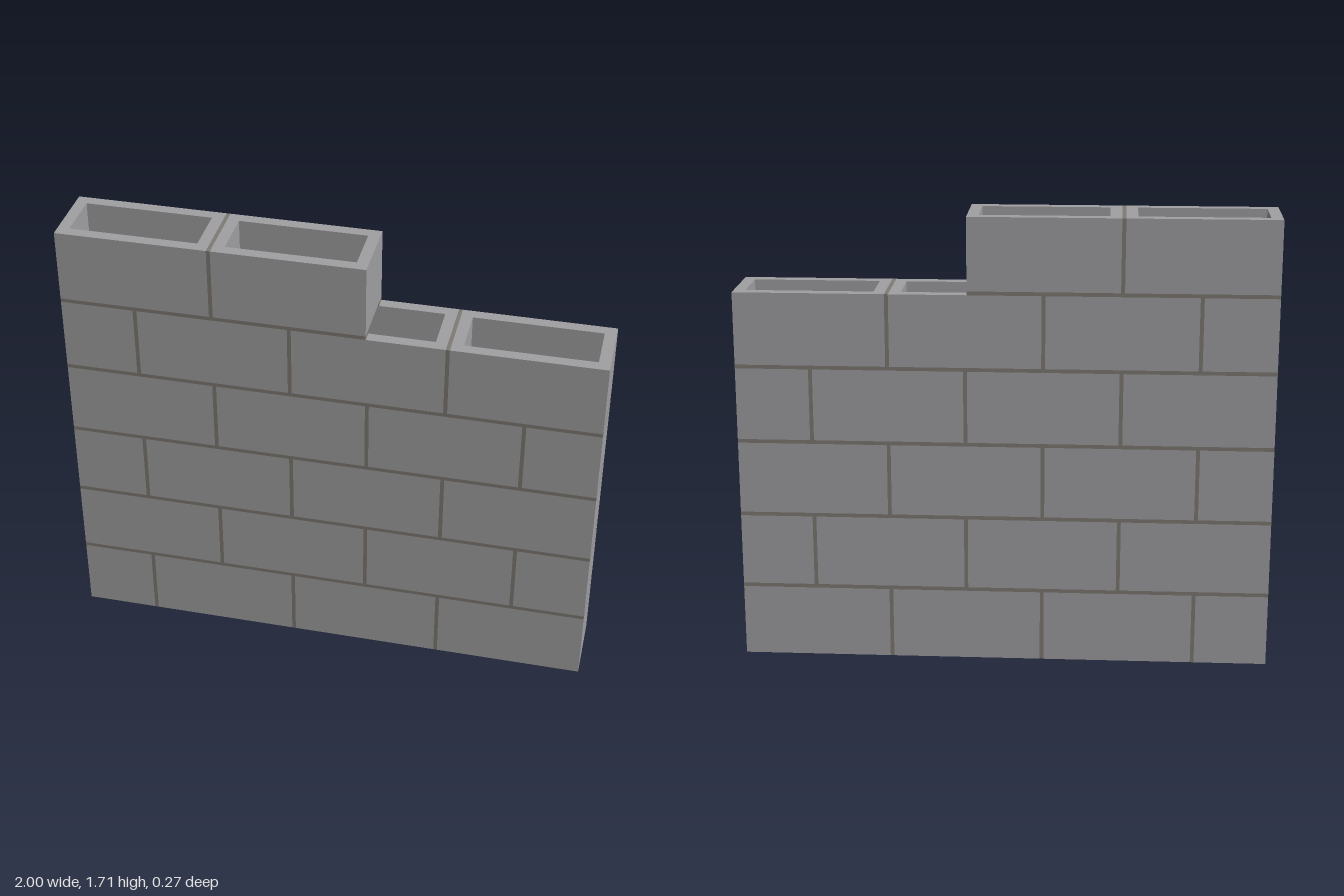
import * as THREE from 'three';

// Wall of hollow blocks in running bond, proportions 390 x 190 x 190 with 10 joints
const U = 2 / 1390;
const LONG = 390 * U, HALF = 190 * U, H = 190 * U, D = 190 * U;
const JOINT = 10 * U, SHELL = 30 * U;

// Rectangular outline added to a shape or path
function rect(path, w, d) {
  path.moveTo(-w / 2, -d / 2);
  path.lineTo(w / 2, -d / 2);
  path.lineTo(w / 2, d / 2);
  path.lineTo(-w / 2, d / 2);
  path.closePath();
  return path;
}

// Open-ended tube standing on y = 0
function hollowBlock(length) {
  const shape = rect(new THREE.Shape(), length, D);
  shape.holes.push(rect(new THREE.Path(), length - 2 * SHELL, D - 2 * SHELL));
  const geo = new THREE.ExtrudeGeometry(shape, { depth: H, bevelEnabled: false });
  geo.rotateX(-Math.PI / 2);
  return geo;
}

export function createModel() {
  const wall = new THREE.Group();
  wall.name = 'blockWall';
  const concrete = new THREE.MeshStandardMaterial({ color: 0xa0a0a2 });
  concrete.name = 'concrete';
  const mortar = new THREE.MeshStandardMaterial({ color: 0x7f7b74 });
  mortar.name = 'mortar';

  const longGeo = hollowBlock(LONG), halfGeo = hollowBlock(HALF);

  function add(parent, name, geo, mat, x, y, z) {
    const mesh = new THREE.Mesh(geo, mat);
    mesh.name = name;
    mesh.position.set(x, y, z);
    parent.add(mesh);
  }

  const evenRow = [HALF, LONG, LONG, LONG];
  const oddRow = [LONG, LONG, LONG, HALF];
  const rows = [evenRow, oddRow, evenRow, oddRow, evenRow, [LONG, LONG]];

  rows.forEach((row, r) => {
    const course = new THREE.Group();
    course.name = 'course' + (r + 1);
    wall.add(course);
    const y = r * (H + JOINT);

    // Blocks with upright joints between them
    let x = -1;
    row.forEach((length, i) => {
      if (i > 0) {
        add(course, 'headJoint', new THREE.BoxGeometry(JOINT, H, D), mortar, x + JOINT / 2, y + H / 2, 0);
        x += JOINT;
      }
      const half = length === HALF;
      add(course, half ? 'halfBlock' : 'block', half ? halfGeo : longGeo, concrete, x + length / 2, y, 0);
      x += length;
    });

    // Mortar bed under the course: two long strips and closed wall ends
    if (r > 0) {
      const yBed = y - JOINT / 2, end = x;
      for (const s of [-1, 1]) {
        add(course, 'bedJoint', new THREE.BoxGeometry(end + 1, JOINT, SHELL), mortar,
          (end - 1) / 2, yBed, s * (D - SHELL) / 2);
        if (s < 0 || end > 0.9) {
          add(course, 'bedJointEnd', new THREE.BoxGeometry(SHELL, JOINT, D - 2 * SHELL), mortar,
            s * (1 - SHELL / 2), yBed, 0);
        }
      }
    }
  });
  return wall;
}
